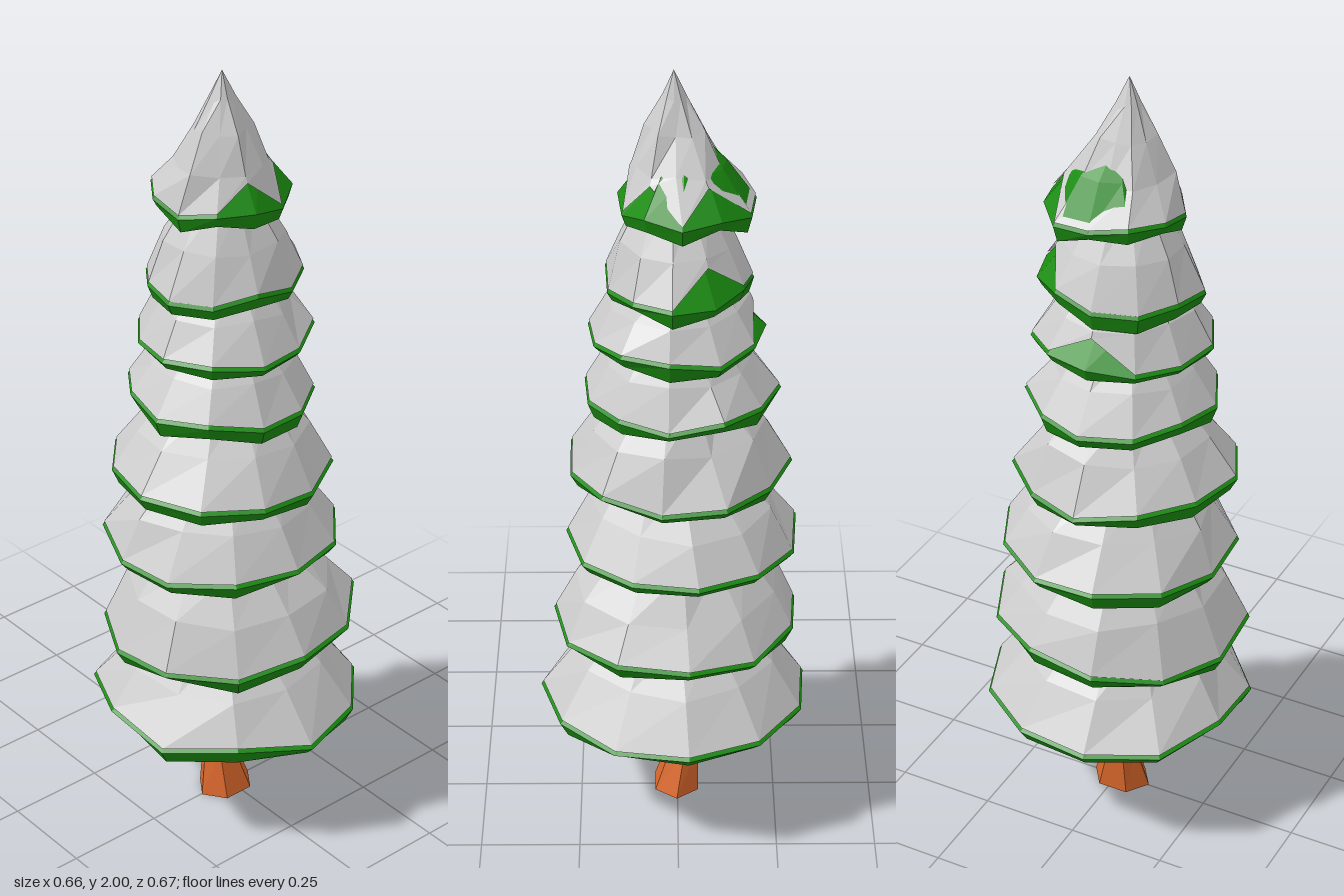
import * as THREE from 'three';

const SIDES = 11;
const material = (color) => new THREE.MeshStandardMaterial({ color, flatShading: true, side: THREE.DoubleSide });

function seeded(seed) {
  let s = seed * 7919 + 17;
  return () => (s = (s * 16807) % 2147483647) / 2147483647;
}

// Skin a stack of equal-length point rings, ordered so the outside faces out
function loft(rings, mat, name) {
  const n = rings[0].length;
  const index = [];
  for (let r = 0; r < rings.length - 1; r++) {
    for (let i = 0; i < n; i++) {
      const a = r * n + i, b = r * n + (i + 1) % n;
      index.push(a, a + n, b, b, a + n, b + n);
    }
  }
  const geometry = new THREE.BufferGeometry().setFromPoints(rings.flat());
  geometry.setIndex(index);
  geometry.computeVertexNormals();
  const mesh = new THREE.Mesh(geometry, mat);
  mesh.name = name;
  return mesh;
}

// Ring of points; at(i) gives each point's radius scale and height offset
function ring(n, x, y, z, rx, rz, at = () => [1, 0], phase = 0) {
  return Array.from({ length: n }, (_, i) => {
    const a = (i / n) * Math.PI * 2 + phase;
    const [k, dy] = at(i, a);
    return new THREE.Vector3(x + Math.cos(a) * rx * k, y + dy, z + Math.sin(a) * rz * k);
  });
}

// Branch tiers: x range, z range, rim height, top height, top radius, sideways tilt, bare snow gaps
const TIERS = [
  { x: [-0.34, 0.34], z: [-0.345, 0.345], y: 0.325, top: 0.55, r: 0.15, tilt: -0.005, gaps: [] },
  { x: [-0.33, 0.325], z: [-0.315, 0.325], y: 0.55, top: 0.76, r: 0.17, tilt: 0.02, gaps: [] },
  { x: [-0.305, 0.295], z: [-0.31, 0.285], y: 0.785, top: 0.99, r: 0.14, tilt: 0.012, gaps: [] },
  { x: [-0.305, 0.25], z: [-0.28, 0.28], y: 0.99, top: 1.2, r: 0.12, tilt: -0.01, gaps: [] },
  { x: [-0.25, 0.215], z: [-0.245, 0.235], y: 1.19, top: 1.36, r: 0.11, tilt: 0, gaps: [] },
  { x: [-0.235, 0.205], z: [-0.22, 0.22], y: 1.35, top: 1.51, r: 0.1, tilt: 0, gaps: [8] },
  { x: [-0.215, 0.195], z: [-0.185, 0.185], y: 1.495, top: 1.7, r: 0.08, tilt: 0, gaps: [10] },
  { x: [-0.17, 0.165], z: [-0.185, 0.15], y: 1.695, top: 2, r: 0, tilt: 0, gaps: [1, 3, 10] },
];

function buildTier(t, number, green, snow) {
  const group = new THREE.Group();
  group.name = 'branchTier' + number;
  const rand = seeded(number * 31 + 5);
  const isTip = t.r === 0;
  const cx = (t.x[0] + t.x[1]) / 2, cz = (t.z[0] + t.z[1]) / 2;
  const rx = (t.x[1] - t.x[0]) / 2, rz = (t.z[1] - t.z[0]) / 2;
  const topX = -0.02, topZ = 0.005, h = t.top - t.y;
  const phase = (rand() - 0.5) * 0.3;

  // Shared irregular rim so needles and snow follow the same outline
  const rim = Array.from({ length: SIDES }, () => [1 - rand() * 0.07, (rand() - 0.5) * 0.025]);
  const drop = rim.map(() => 0.02 + rand() * 0.03);
  const edge = (scale, down) => (i, a) => [rim[i][0] * scale, rim[i][1] + t.tilt * Math.cos(a) - down(i)];
  const rough = (amount) => () => [1 + (rand() - 0.5) * amount, (rand() - 0.5) * 0.015];

  // Green needles: underside, drooping lip and the slope hidden by snow
  const inner = isTip ? 0.06 : 0.35 * rx;
  const needles = [
    ring(SIDES, topX, t.y + 0.01, topZ, 0.015, 0.015, undefined, phase),
    ring(SIDES, cx, t.y - 0.01, cz, inner, inner, rough(0.2), phase),
    ring(SIDES, cx, t.y, cz, rx, rz, edge(0.95, (i) => drop[i]), phase),
    ring(SIDES, cx, t.y, cz, rx, rz, edge(1.015, () => 0.006), phase),
    ring(SIDES, cx, t.y + h * (isTip ? 0.3 : 0.5), cz, rx * 0.56, rz * 0.56, undefined, phase),
    ring(SIDES, topX, t.top - (isTip ? 0.1 : 0.02), topZ, t.r * 0.8, t.r * 0.8, undefined, phase),
  ];
  group.add(loft(needles, green, 'needles'));

  // Snow cap: slightly rounded slope, concave and pointed on the tip
  const snowRings = [ring(SIDES, cx, t.y, cz, rx, rz, edge(1, () => -0.004), phase)];
  if (isTip) {
    snowRings.push(
      ring(SIDES, -0.015, t.y + h * 0.28, 0, 0.112, 0.112, rough(0.25), phase),
      ring(SIDES, -0.02, t.y + h * 0.56, 0.003, 0.066, 0.066, rough(0.35), phase),
      ring(SIDES, -0.025, t.y + h * 0.78, 0.008, 0.03, 0.03, rough(0.2), phase),
      ring(SIDES, -0.025, t.top, 0.01, 0, 0, undefined, phase));
  } else {
    const mx = (rx + t.r) / 2 * 1.03, mz = (rz + t.r) / 2 * 1.03;
    snowRings.push(
      ring(SIDES, (cx + topX) / 2, t.y + h * 0.5, (cz + topZ) / 2, mx, mz, rough(0.1), phase),
      ring(SIDES, topX, t.top, topZ, t.r, t.r, rough(0.1), phase),
      ring(SIDES, topX, t.top, topZ, 0, 0, undefined, phase));
  }
  // Pull the snow edge back where the needles show through
  for (const i of t.gaps) snowRings[0][i].lerp(snowRings[1][i], 0.8);
  group.add(loft(snowRings, snow, 'snow'));
  return group;
}

export function createModel() {
  const tree = new THREE.Group();
  tree.name = 'snowyTree';
  const green = material(0x1a8c10), snow = material(0xcccccc), bark = material(0xd8662a);

  // Crooked trunk: height, centre x, centre z, half width x, half depth z
  const trunk = [
    [0, -0.013, 0, 0, 0],
    [0, -0.013, 0.002, 0.078, 0.064],
    [0.12, -0.02, -0.018, 0.043, 0.04],
    [0.2, -0.03, 0.01, 0.042, 0.038],
    [0.29, -0.028, 0, 0.036, 0.042],
    [0.38, -0.025, 0, 0.03, 0.03],
  ].map(([y, x, z, rx, rz]) => ring(6, x, y, z, rx, rz));
  tree.add(loft(trunk, bark, 'trunk'));

  TIERS.forEach((t, i) => tree.add(buildTier(t, i + 1, green, snow)));
  return tree;
}
